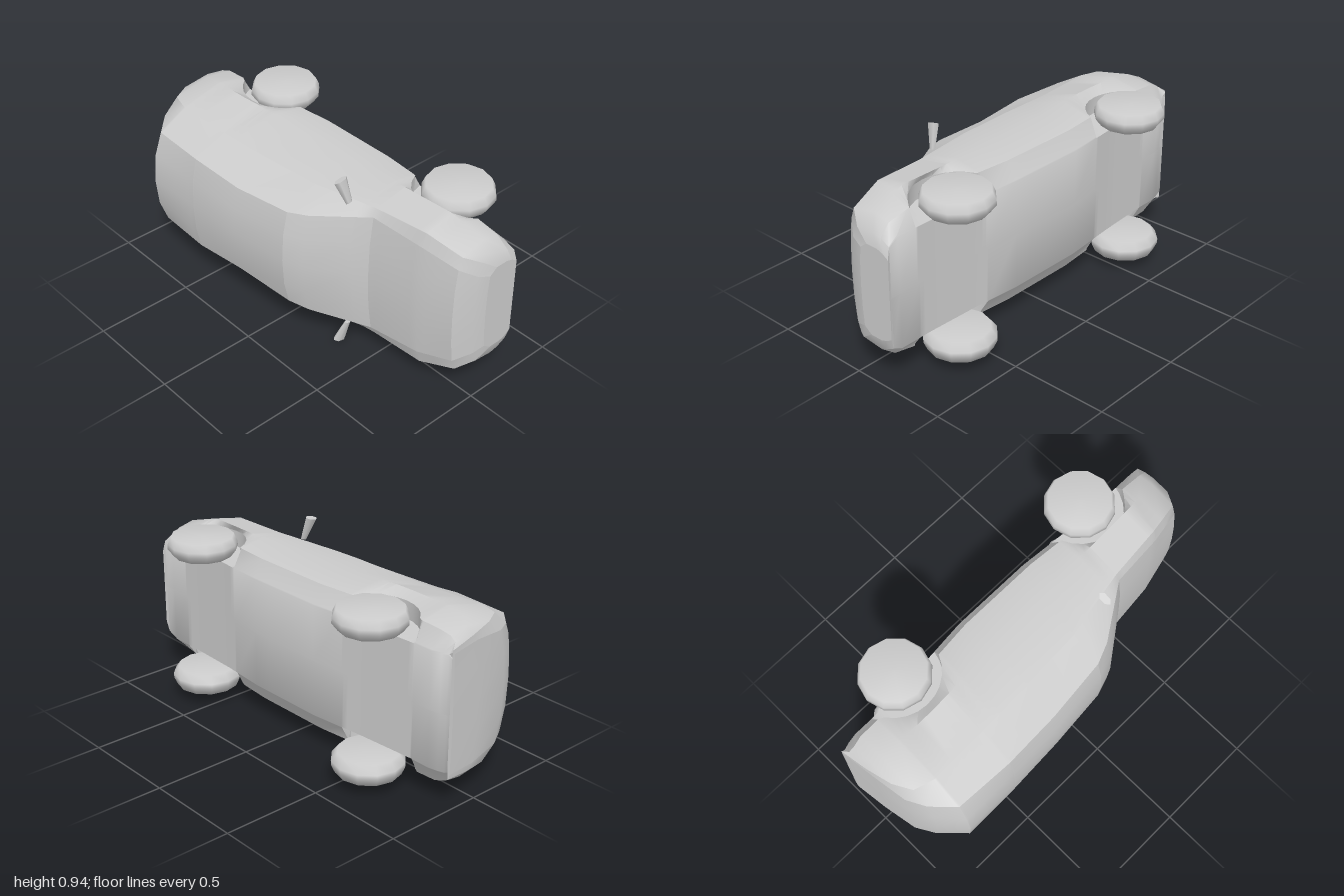
import * as THREE from 'three';
import { toCreasedNormals } from 'three/addons/utils/BufferGeometryUtils.js';

// The car lies with its nose along +x, its roof towards +z and its width along y.
const MID = 0.475;
const WHEELS = [-0.59, 0.61];
const WHEEL_Z = -0.26, ARCH_R = 0.215;

// Stations along the car: x, floor z, sill half width, widest half width,
// shoulder half width and z, roof edge half width and z, centre top z
const STATIONS = [
  [-1.0, -0.18, 0.30, 0.31, 0.31, -0.17, 0.29, -0.165, -0.16],
  [-0.98, -0.18, 0.33, 0.335, 0.33, -0.03, 0.30, 0.0, 0.02],
  [-0.95, -0.19, 0.35, 0.365, 0.345, 0.10, 0.28, 0.18, 0.22],
  [-0.9, -0.20, 0.365, 0.385, 0.345, 0.19, 0.27, 0.27, 0.31],
  [-0.8, -0.20, 0.37, 0.40, 0.345, 0.22, 0.26, 0.37, 0.427],
  [-0.5, -0.22, 0.37, 0.405, 0.335, 0.21, 0.26, 0.385, 0.417],
  [-0.2, -0.25, 0.37, 0.39, 0.34, 0.20, 0.24, 0.37, 0.405],
  [0.12, -0.25, 0.37, 0.39, 0.345, 0.18, 0.26, 0.34, 0.375],
  [0.22, -0.25, 0.37, 0.39, 0.35, 0.16, 0.275, 0.30, 0.342],
  [0.47, -0.23, 0.37, 0.395, 0.36, 0.115, 0.32, 0.135, 0.16],
  [0.75, -0.22, 0.365, 0.402, 0.37, 0.09, 0.30, 0.11, 0.125],
  [0.93, -0.22, 0.33, 0.35, 0.32, 0.05, 0.26, 0.07, 0.088],
  [0.985, -0.225, 0.28, 0.29, 0.28, -0.03, 0.22, 0.0, 0.01],
  [1.0, -0.23, 0.22, 0.23, 0.23, -0.10, 0.20, -0.06, -0.05],
];

function stationAt(x) {
  let i = 0;
  while (i < STATIONS.length - 2 && x > STATIONS[i + 1][0]) i++;
  const a = STATIONS[i], b = STATIONS[i + 1];
  const t = (x - a[0]) / (b[0] - a[0]);
  return a.map((v, k) => v + (b[k] - v) * t);
}

// Half cross-section from floor centre to roof centre, as [half width, z]
function halfSection(x) {
  const [, zb, wl, wm, ws, zs, wr, zr, zc] = stationAt(x);
  const inner = Math.min(0.28, wl * 0.9);
  let arch = -1;
  for (const c of WHEELS) {
    const d = ARCH_R ** 2 - (x - c) ** 2;
    if (d > 0) arch = Math.max(arch, WHEEL_Z + Math.sqrt(d));
  }
  const sill = zb + Math.min(0.05, 0.25 * (zs - zb));
  return [
    [0, zb], [inner, zb],
    [inner + 0.005, Math.max(zb + 0.004, arch)],
    [wl, Math.max(sill, arch)],
    [wm, Math.min(0, (zb + zs) / 2)],
    [ws, zs], [wr, zr],
    [wr * 0.55, zr + (zc - zr) * 0.75], [0, zc],
  ];
}

const place = (x, side) => ([w, z]) => [x, MID + side * w, z];

// Full ring: up the right side, over the roof, down the left side
function ring(x) {
  const h = halfSection(x);
  return [...h.map(place(x, -1)), ...h.slice(0, -1).reverse().map(place(x, 1))];
}

// Surface through rows of points
function surface(name, rows, material) {
  const n = rows[0].length, index = [];
  for (let i = 0; i < rows.length - 1; i++) {
    for (let j = 0; j < n - 1; j++) {
      const a = i * n + j, b = a + n;
      index.push(a, b, b + 1, a, b + 1, a + 1);
    }
  }
  const g = new THREE.BufferGeometry();
  g.setAttribute('position', new THREE.Float32BufferAttribute(rows.flat(2), 3));
  g.setIndex(index);
  const mesh = new THREE.Mesh(toCreasedNormals(g, 0.75), material);
  mesh.name = name;
  return mesh;
}

export function createModel() {
  const car = new THREE.Group();
  car.name = 'car';
  const mat = new THREE.MeshStandardMaterial({ color: 0xcccccc, side: THREE.DoubleSide });

  // Positions of the cross-sections, closer together around the wheel arches
  const xs = STATIONS.map((s) => s[0]);
  for (const c of WHEELS) {
    for (let k = 0; k <= 12; k++) xs.push(c + ARCH_R * Math.cos(0.12 + (k / 12) * (Math.PI - 0.24)));
  }
  xs.sort((a, b) => a - b);
  const panel = (name, j0, j1, x0 = -1, x1 = 1) => car.add(surface(
    name, xs.filter((x) => x >= x0 && x <= x1).map((x) => ring(x).slice(j0, j1 + 1)), mat));

  // Floor, flanks and side glass
  panel('rightUnderbody', 0, 3);
  panel('leftUnderbody', 13, 16);
  panel('rightFlank', 3, 5);
  panel('leftFlank', 11, 13);
  panel('rightSideGlass', 5, 6);
  panel('leftSideGlass', 10, 11);

  // Upper panels from tail to nose
  const top = [
    ['tailgate', -1, -0.8], ['rearRoof', -0.8, -0.5], ['roof', -0.5, 0.12],
    ['windscreen', 0.12, 0.47], ['hood', 0.47, 0.93], ['nose', 0.93, 1],
  ];
  for (const [name, x0, x1] of top) panel(name, 6, 10, x0, x1);

  // End faces
  const endRows = (x) => [-1, 1].map((s) => halfSection(x).map(place(x, s)));
  car.add(surface('frontBumperFace', endRows(1), mat));
  car.add(surface('rearBumperFace', endRows(-1).reverse(), mat));

  // Wheels and door mirrors
  const tyre = [[0, -0.05], [0.145, -0.05], [0.174, -0.012], [0.172, 0.012], [0.155, 0.05], [0, 0.052]]
    .map(([r, y]) => new THREE.Vector2(r, y));
  for (const s of [-1, 1]) {
    const side = s > 0 ? 'left' : 'right';
    WHEELS.forEach((x, i) => {
      const wheel = new THREE.Mesh(new THREE.LatheGeometry(tyre, 12), mat);
      wheel.name = side + (i ? 'FrontWheel' : 'RearWheel');
      wheel.position.set(x, MID + s * 0.35, WHEEL_Z);
      if (s < 0) wheel.rotation.x = Math.PI;
      car.add(wheel);
    });
    const g = new THREE.CylinderGeometry(s > 0 ? 0.036 : 0.018, s > 0 ? 0.018 : 0.036, 0.12, 6);
    g.scale(0.55, 1, 1);
    const mirror = new THREE.Mesh(g, mat);
    mirror.name = side + 'Mirror';
    mirror.position.set(0.325, MID + s * 0.406, 0.175);
    mirror.rotation.set(s * 0.2, 0, s * 0.28);
    car.add(mirror);
  }
  return car;
}
